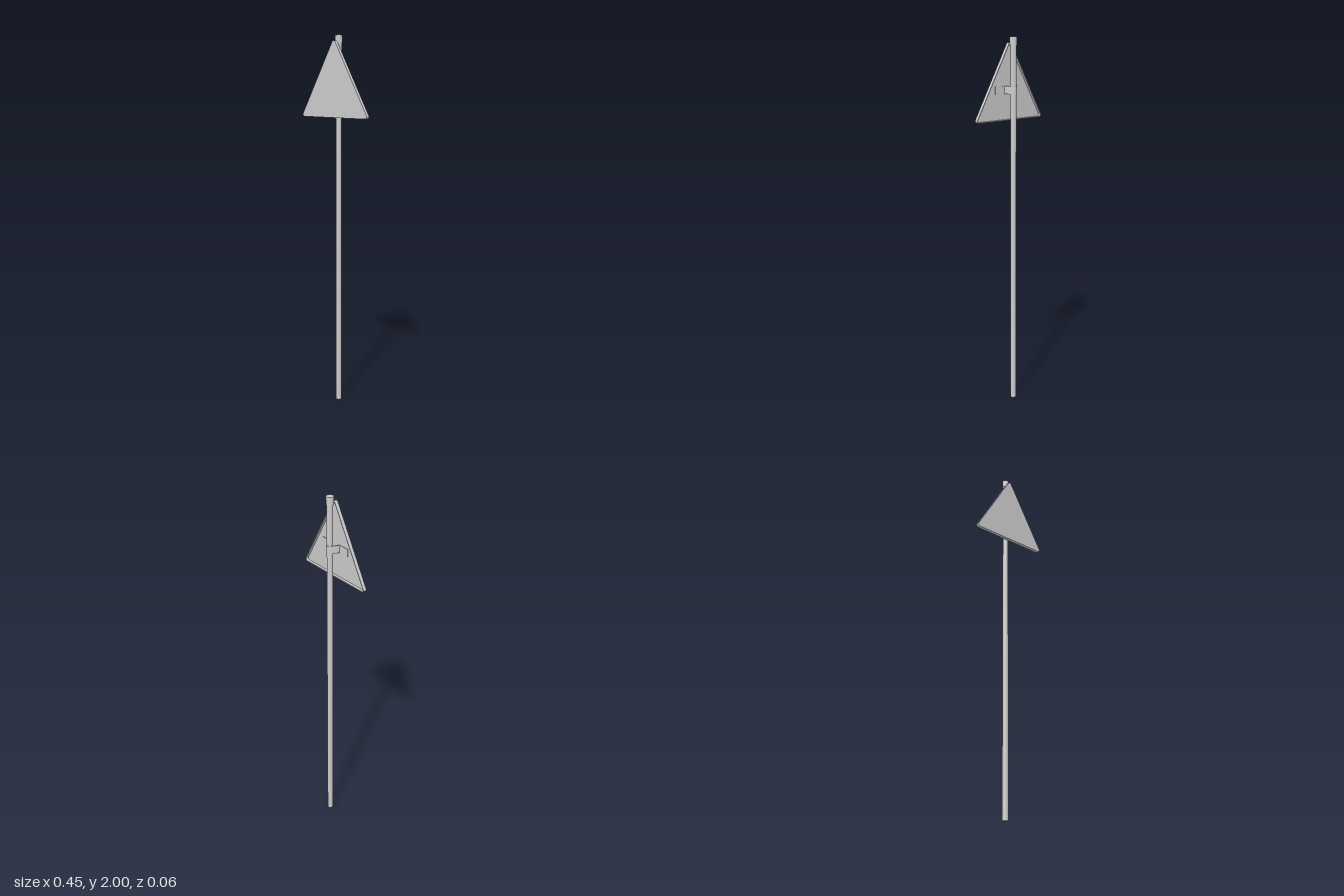
import * as THREE from 'three';

const material = new THREE.MeshStandardMaterial({ color: 0xcccccc });
const POLE_Z = -0.012;

function addMesh(group, name, geometry, x = 0, y = 0, z = 0) {
  const mesh = new THREE.Mesh(geometry, material);
  mesh.name = name;
  mesh.position.set(x, y, z);
  group.add(mesh);
}

// Equilateral triangle with rounded corners; inset shrinks it evenly
function roundedTriangle(inset, PathType) {
  const r = 0.012 - inset, cx = 0.212, cy = 1.592;
  const path = new PathType();
  const corners = [[-cx, cy, 150], [cx, cy, 270], [0, cy + cx * Math.sqrt(3), 30]];
  for (const [x, y, deg] of corners) {
    const a = THREE.MathUtils.degToRad(deg);
    path.absarc(x, y, r, a, a + Math.PI * 2 / 3, false);
  }
  path.closePath();
  return path;
}

function extrude(shape, depth) {
  return new THREE.ExtrudeGeometry(shape, { depth, bevelEnabled: false, curveSegments: 10 });
}

// Bent band: flat wings on the panel, slanted legs and a loop round the pole
function bracketShape() {
  const c = -POLE_Z, a = 0.36;
  const s = new THREE.Shape();
  s.moveTo(-0.093, -0.024);
  s.lineTo(-0.093, -0.021);
  s.lineTo(-0.032, -0.021);
  s.absarc(0, c, 0.019, Math.PI - a, a, true);
  s.lineTo(0.032, -0.021);
  s.lineTo(0.093, -0.021);
  s.lineTo(0.093, -0.024);
  s.lineTo(0.028, -0.024);
  s.absarc(0, c, 0.015, a, Math.PI - a, false);
  s.lineTo(-0.028, -0.024);
  s.closePath();
  return s;
}

export function createModel() {
  const group = new THREE.Group();
  group.name = 'triangularRoadSign';

  // Post and its slightly wider cap
  addMesh(group, 'pole', new THREE.CylinderGeometry(0.0155, 0.0155, 1.98, 32), 0, 0.99, POLE_Z);
  addMesh(group, 'poleCap', new THREE.CylinderGeometry(0.019, 0.019, 0.04, 32), 0, 1.98, POLE_Z);

  // Sign panel: thin face plate with a folded rim behind it
  addMesh(group, 'signFace', extrude(roundedTriangle(0, THREE.Shape), 0.004), 0, 0, 0.0245);
  const rim = roundedTriangle(0, THREE.Shape);
  rim.holes.push(roundedTriangle(0.004, THREE.Path));
  addMesh(group, 'signRim', extrude(rim, 0.0145), 0, 0, 0.01);

  // Mounting bracket
  const bracket = extrude(bracketShape(), 0.04);
  bracket.rotateX(-Math.PI / 2);
  addMesh(group, 'mountingBracket', bracket, 0, 1.715, 0);

  return group;
}
